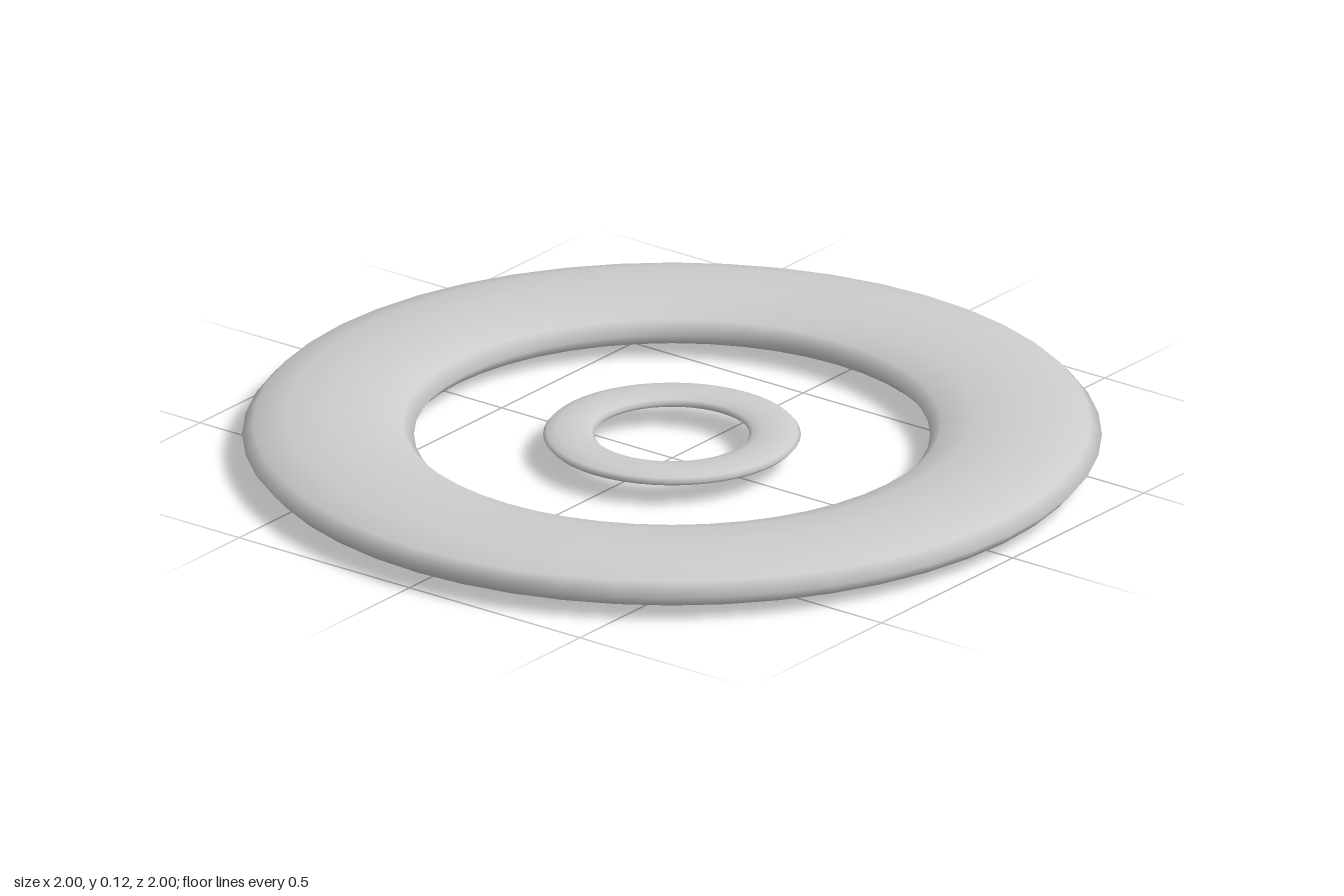
import * as THREE from 'three';

const FLATTEN = 0.3; // height of each ring's section relative to its width
const CENTER_Y = 0.06;

// A flattened torus lying in the horizontal plane
function flatRing(name, innerRadius, outerRadius, material) {
  const radius = (innerRadius + outerRadius) / 2;
  const tube = (outerRadius - innerRadius) / 2;
  const geometry = new THREE.TorusGeometry(radius, tube, 12, 48);
  geometry.rotateX(-Math.PI / 2);
  geometry.scale(1, FLATTEN, 1);
  const ring = new THREE.Mesh(geometry, material);
  ring.name = name;
  ring.position.y = CENTER_Y;
  return ring;
}

export function createModel() {
  const model = new THREE.Group();
  model.name = 'concentricRings';
  const material = new THREE.MeshStandardMaterial({ color: 0xcccccc });

  // Wide outer ring and small inner ring on the same centre
  model.add(flatRing('outerRing', 0.6, 1.0, material));
  model.add(flatRing('innerRing', 0.18, 0.3, material));
  return model;
}
